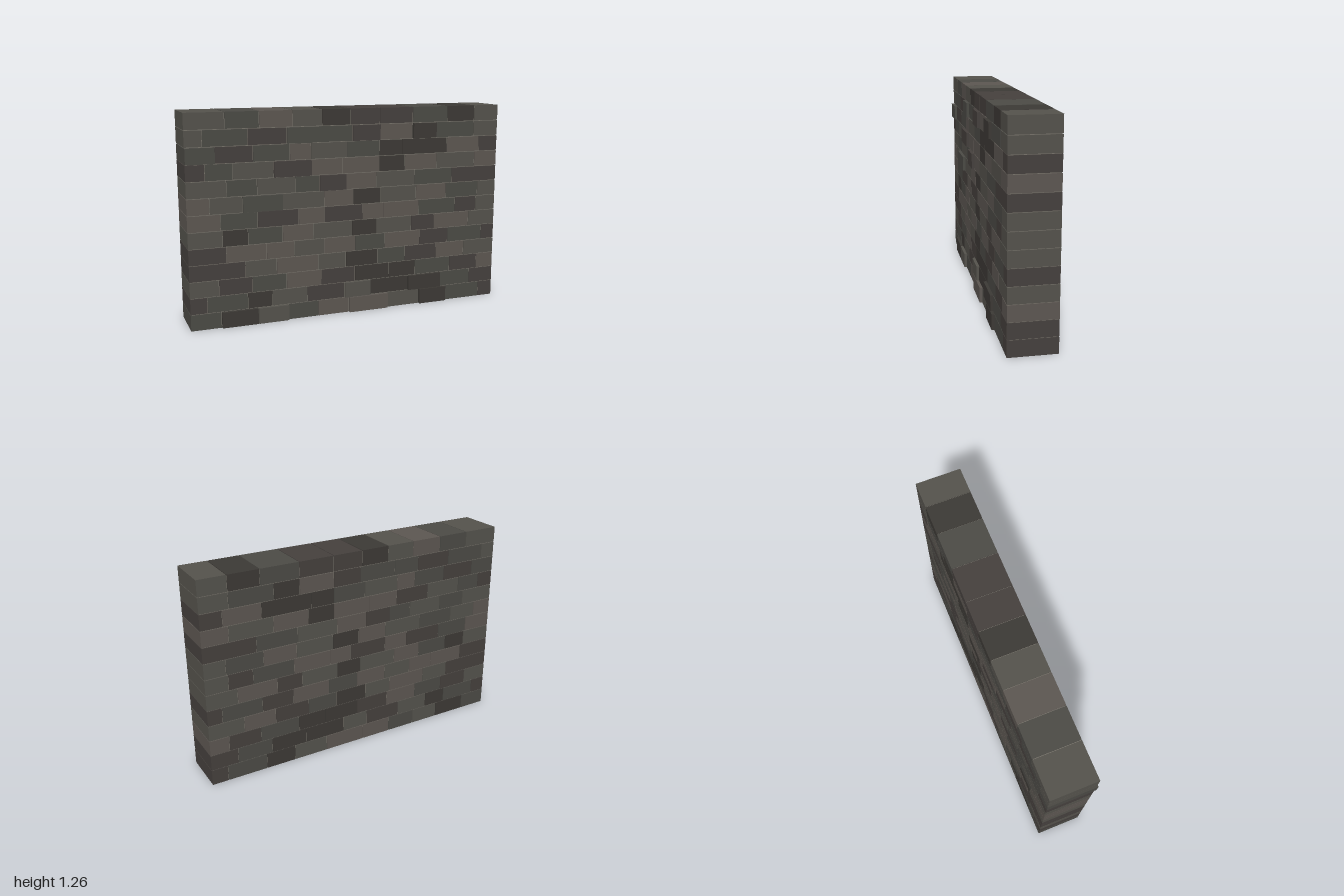
import * as THREE from 'three';

const BACK = -0.148, FRONT = 0.131, PROUD = 0.147;
const HEIGHT = 1.26, GAP = 0.004;

// Stone shades, from darkest to lightest
const SHADES = { d: 0x3c3935, k: 0x45403d, g: 0x4b4a45, m: 0x54524c, w: 0x5c5651 };

// Courses from bottom to top: joint positions along x (hundredths) and one
// shade letter per stone; a capital letter marks a stone standing proud.
const COURSES = [
  [[-82, -60, -41, -22, -2, 24, 46, 65, 90], 'gDMgwWmDgk'],
  [[-90, -66, -51, -29, -5, 12, 38, 61, 83], 'kgdmkMdDgk'],
  [[-83, -63, -42, -20, 2, 25, 43, 68, 88], 'mkgwkddgkw'],
  [[-67, -48, -22, -4, 17, 36, 58, 78], 'kmwmdgkwm'],
  [[-78, -54, -37, -18, 2, 22, 46, 66, 91], 'kwwmwgwkgk'],
  [[-80, -65, -44, -25, 0, 16, 40, 56, 81], 'mdgwmdmkwm'],
  [[-81, -59, -34, -18, 7, 21, 45, 71, 86], 'wgkwkwwgkm'],
  [[-87, -68, -44, -18, 1, 19, 43, 64, 87], 'wmGmwdmwgm'],
  [[-77, -59, -36, -21, -4, 16, 42, 68], 'mgmgKwmgk'],
  [[-89, -73, -49, -26, -6, 18, 35, 57, 84], 'kgmKwwdwmw'],
  [[-83, -61, -39, -26, -3, 18, 33, 64, 87], 'GkgwmgddwK'.replace('K', 'k')],
  [[-90, -64, -41, -24, 0, 18, 40, 56, 83], 'mgkGgKwDgm'],
  [[-77, -57, -37, -19, -1, 18, 40, 64, 83], 'mgwmdkkgdm'],
];

const materials = {};
for (const key in SHADES) {
  materials[key] = new THREE.MeshStandardMaterial({ color: SHADES[key] });
}

// Box given by its lower and upper limits on each axis
function block(name, material, x0, x1, y0, y1, z0, z1) {
  const mesh = new THREE.Mesh(new THREE.BoxGeometry(x1 - x0, y1 - y0, z1 - z0), material);
  mesh.position.set((x0 + x1) / 2, (y0 + y1) / 2, (z0 + z1) / 2);
  mesh.name = name;
  return mesh;
}

export function createModel() {
  const wall = new THREE.Group();
  wall.name = 'stoneWall';

  // Mortar core, set back slightly behind the stone faces
  const inset = 0.005;
  const mortar = new THREE.MeshStandardMaterial({ color: 0x77736a });
  wall.add(block('mortar', mortar, -1 + inset, 1 - inset, inset, HEIGHT - inset,
    BACK + inset, FRONT - inset));

  // Courses of stones running through the full thickness
  const step = HEIGHT / COURSES.length;
  COURSES.forEach(([joints, shades], row) => {
    const course = new THREE.Group();
    course.name = `course${row + 1}`;
    const edges = [-1, ...joints.map((j) => j / 100), 1];
    const y0 = row === 0 ? 0 : row * step + GAP / 2;
    const y1 = row === COURSES.length - 1 ? HEIGHT : (row + 1) * step - GAP / 2;
    for (let i = 0; i < edges.length - 1; i++) {
      const x0 = edges[i] + (i > 0 ? GAP / 2 : 0);
      const x1 = edges[i + 1] - (i < edges.length - 2 ? GAP / 2 : 0);
      const shade = shades[i].toLowerCase();
      const proud = shades[i] !== shade;
      course.add(block(proud ? 'proudStone' : 'stone', materials[shade],
        x0, x1, y0, y1, BACK, proud ? PROUD : FRONT));
    }
    wall.add(course);
  });

  return wall;
}
